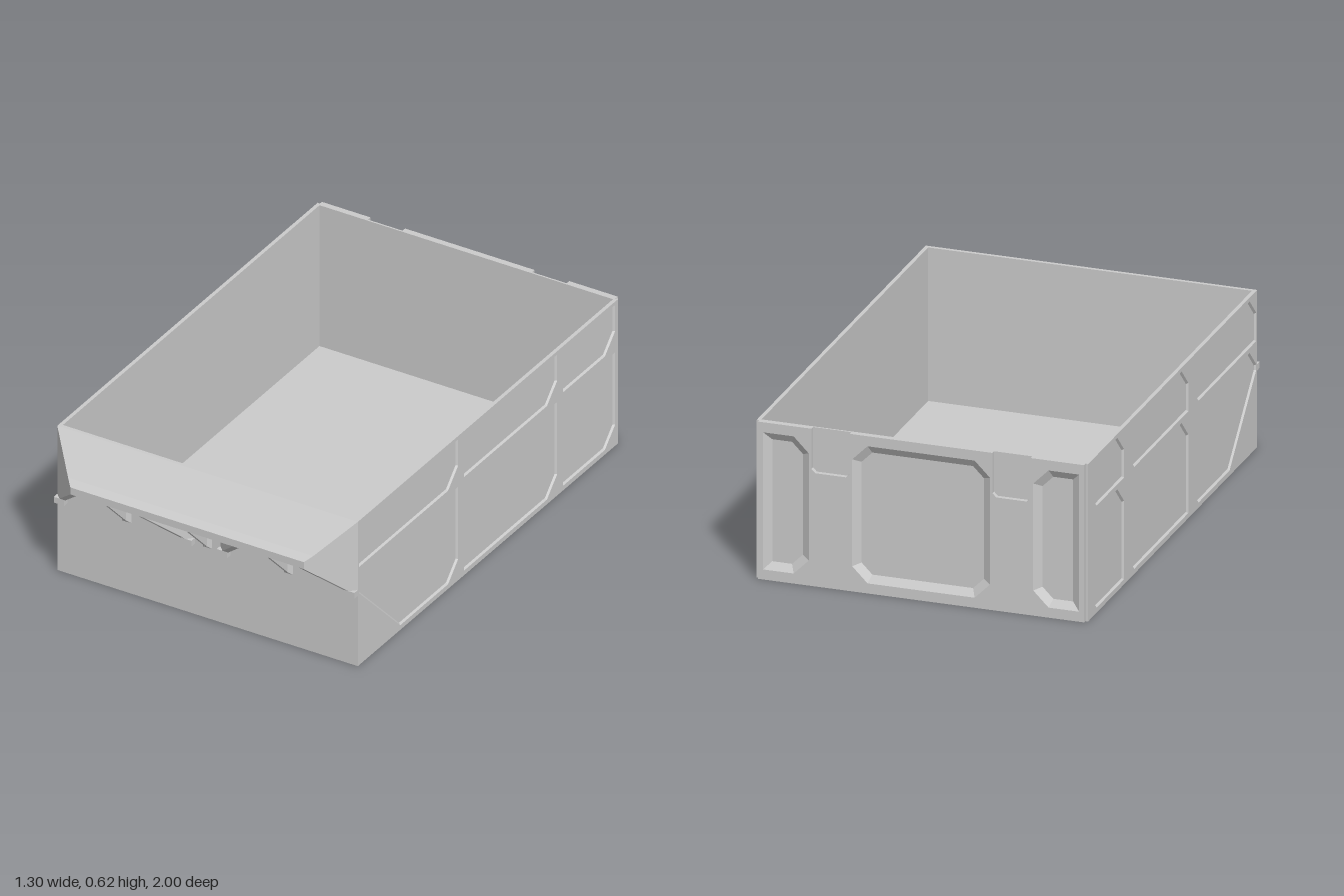
import * as THREE from 'three';
import { mergeGeometries } from 'three/addons/utils/BufferGeometryUtils.js';

const H = 0.625, FRONT = 0.855;
const material = new THREE.MeshStandardMaterial({ color: 0xcccccc, flatShading: true });

const vectors = (pts) => pts.map(([x, y]) => new THREE.Vector2(x, y));
const rect = (x0, y0, x1, y1) => [[x0, y0], [x1, y0], [x1, y1], [x0, y1]];
const extrude = (shape, depth) => new THREE.ExtrudeGeometry(shape, { depth, bevelEnabled: false });

function add(group, name, geometry) {
  const mesh = new THREE.Mesh(geometry, material);
  mesh.name = name;
  group.add(mesh);
  return mesh;
}

// Moves every edge of a convex counter-clockwise outline inwards
function inset(pts, d) {
  return pts.map((p, i) => {
    const a = pts[(i + pts.length - 1) % pts.length], b = pts[(i + 1) % pts.length];
    const e = p.clone().sub(a).normalize(), f = b.clone().sub(p).normalize();
    const n = new THREE.Vector2(-e.y - f.y, e.x + f.x);
    return p.clone().addScaledVector(n, d / (1 + e.dot(f)));
  });
}

// Plate with panel openings whose rims slope down to the wall behind
function panelledPlate(outline, openings, depth, bevel) {
  const shape = new THREE.Shape(vectors(outline));
  const slopes = [];
  for (const opening of openings) {
    const p = vectors(opening);
    if (THREE.ShapeUtils.area(p) < 0) p.reverse();
    const q = inset(p, bevel);
    shape.holes.push(new THREE.Path(p));
    p.forEach((a, i) => {
      const j = (i + 1) % p.length, b = p[j], c = q[j], d = q[i];
      slopes.push(a.x, a.y, depth, b.x, b.y, depth, c.x, c.y, 0);
      slopes.push(a.x, a.y, depth, c.x, c.y, 0, d.x, d.y, 0);
    });
  }
  const rims = new THREE.BufferGeometry();
  rims.setAttribute('position', new THREE.Float32BufferAttribute(slopes, 3));
  rims.computeVertexNormals();
  const plate = extrude(shape, depth);
  plate.deleteAttribute('uv');
  return mergeGeometries([plate, rims]);
}

// Profile of [z, y] points spanned from xa to xb; both ends shift with distance from the front wall
function taperedPrism(profile, xa, ka, xb, kb) {
  const geometry = extrude(new THREE.Shape(vectors(profile.map(([z, y]) => [-z, y]))), 1);
  const pos = geometry.attributes.position;
  for (let i = 0; i < pos.count; i++) {
    const z = -pos.getX(i), out = z - FRONT;
    const x = THREE.MathUtils.lerp(xa + ka * out, xb + kb * out, pos.getZ(i));
    pos.setXYZ(i, x, pos.getY(i), z);
  }
  geometry.computeVertexNormals();
  return geometry;
}

export function createModel() {
  const model = new THREE.Group();
  model.name = 'storageBin';

  // Open box: wall ring and floor
  const ring = new THREE.Shape(vectors(rect(-0.643, -FRONT, 0.643, 0.982)));
  ring.holes.push(new THREE.Path(vectors(rect(-0.635, -0.84, 0.635, 0.975))));
  add(model, 'walls', extrude(ring, H).rotateX(-Math.PI / 2));
  add(model, 'floor', new THREE.BoxGeometry(1.275, 0.015, 1.82)).position.set(0, 0.0075, -0.0675);

  // Side skins: two rows of shallow recessed panels, with u running from front to back
  const c = 0.072;
  const sidePanels = [];
  for (const [u0, u1] of [[-0.845, -0.145], [-0.105, 0.555], [0.595, 0.965]]) {
    for (const [v0, v1] of [[0.425, 0.61], [0.02, 0.405]]) {
      const isFrontLower = u0 < -0.8 && v0 < 0.1;
      const frontBottom = isFrontLower ? [[u0, 0.31], [-0.555, v0]] : [[u0, v0]];
      sidePanels.push([...frontBottom, [u1 - c, v0], [u1, v0 + c], [u1, v1], [u0 + c, v1], [u0, v1 - c]]);
    }
  }
  for (const s of [1, -1]) {
    const flip = (pts) => pts.map(([u, v]) => [u * s, v]);
    const skin = panelledPlate(flip(rect(-FRONT, 0, 0.987, H)), sidePanels.map(flip), 0.007, 0.007);
    const mesh = add(model, s > 0 ? 'leftSidePanels' : 'rightSidePanels', skin);
    mesh.rotation.y = s * Math.PI / 2;
    mesh.position.x = s * 0.643;
  }

  // Back skin: three recessed panels and two slots open at the rim
  const slot = [[0.43, H], [0.43, 0.465], [0.415, 0.45], [0.295, 0.45], [0.28, 0.465], [0.28, H]];
  const mirrored = (pts) => pts.map(([x, y]) => [-x, y]).reverse();
  const backOutline = [[-0.64, 0], [0.64, 0], [0.64, H], ...slot, ...mirrored(slot), [-0.64, H]];
  const b0 = 0.04, b1 = 0.585, k = 0.06;
  const narrow = [[0.62, b0], [0.62, b1], [0.5, b1], [0.44, b1 - k], [0.44, b0 + k], [0.5, b0]];
  const wide = [[-0.27 + k, b0], [0.27 - k, b0], [0.27, b0 + k], [0.27, b1 - k],
    [0.27 - k, b1], [-0.27 + k, b1], [-0.27, b1 - k], [-0.27, b0 + k]];
  const back = add(model, 'backPanels',
    panelledPlate(backOutline, [narrow, mirrored(narrow), wide], 0.018, 0.03));
  back.rotation.y = Math.PI;
  back.position.z = -0.982;

  // Sloping front lip, hollow below
  const lip = [[FRONT, H], [0.975, 0.501], [1, 0.48], [1, 0.45], [0.98, 0.45], [FRONT, 0.585]];
  add(model, 'frontLip', taperedPrism(lip, -0.65, 1, 0.65, -1));

  // Slanted plates closing the lip ends and bracing its middle
  const endPlate = [[FRONT, H], [0.975, 0.501], [1, 0.48], [1, 0.45], [FRONT, 0.305]];
  const brace = [[FRONT, 0.6], [0.985, 0.465], [0.998, 0.45], [FRONT, 0.305]];
  for (const s of [1, -1]) {
    const span = (a, b, slope) => (s > 0 ? [a, slope, b, slope] : [-b, -slope, -a, -slope]);
    add(model, 'lipEnd', taperedPrism(endPlate, ...span(0.625, 0.65, -1)));
    add(model, 'lipBrace', taperedPrism(brace, ...span(0.055, 0.08, 1)));
    for (const x of [0.0775, 0.6275]) {
      add(model, 'braceFoot', new THREE.BoxGeometry(0.045, 0.025, 0.025))
        .position.set(s * x, 0.3175, FRONT + 0.0125);
    }
  }

  // Thin ribs under the lip, each on a wider tapered base
  const ribBase = [[FRONT, 0.59], [0.87, 0.57], [0.87, 0.32], [FRONT, 0.305]];
  for (const x of [-0.35, 0, 0.35]) {
    add(model, 'lipRib', taperedPrism(brace, x - 0.006, 0, x + 0.006, 0));
    add(model, 'ribBase', taperedPrism(ribBase, x - 0.02, 0.93, x + 0.02, -0.93));
  }
  return model;
}
